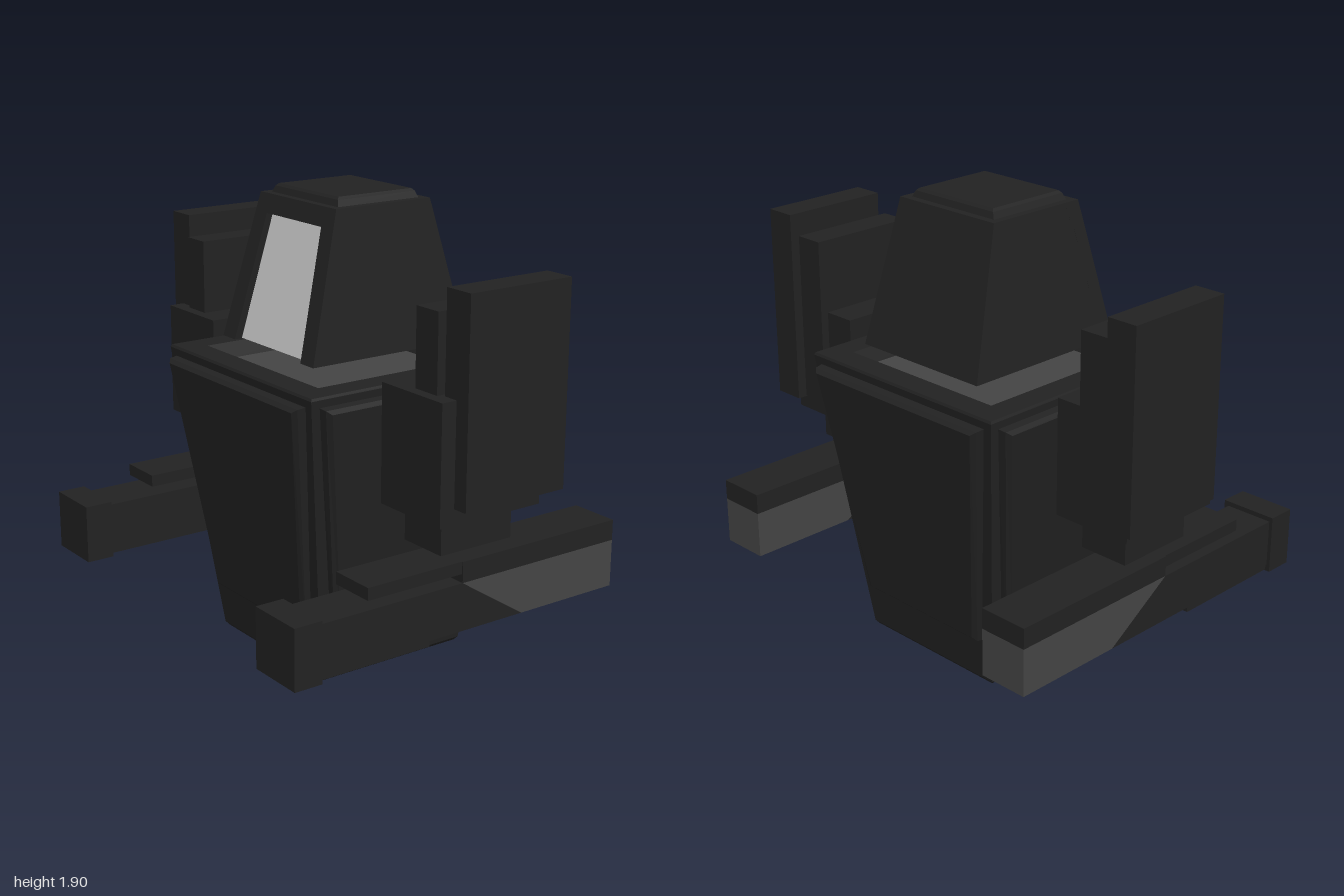
import * as THREE from 'three';

const paint = (color) => new THREE.MeshStandardMaterial({ color, flatShading: true });
const dark = paint(0x222222);
const grey = paint(0x444444);
const glass = paint(0xcccccc);

// Horizontal rectangle of four corners, counterclockwise from above
const rect = (y, x0, x1, z0, z1) => [[x0, y, z1], [x1, y, z1], [x1, y, z0], [x0, y, z0]];
const centred = (y, hx, hz) => rect(y, -hx, hx, -hz, hz);

// Skin through a series of four-cornered rings, closed at both ends
function loft(name, rings, material = dark) {
  const positions = [];
  const quad = (a, b, c, d) => positions.push(...a, ...b, ...c, ...a, ...c, ...d);
  for (let r = 0; r < rings.length - 1; r++) {
    for (let i = 0; i < 4; i++) {
      const j = (i + 1) % 4;
      quad(rings[r][i], rings[r][j], rings[r + 1][j], rings[r + 1][i]);
    }
  }
  const [a, b, c, d] = rings[0];
  quad(d, c, b, a);
  quad(...rings[rings.length - 1]);
  const geometry = new THREE.BufferGeometry();
  geometry.setAttribute('position', new THREE.Float32BufferAttribute(positions, 3));
  geometry.computeVertexNormals();
  const mesh = new THREE.Mesh(geometry, material);
  mesh.name = name;
  return mesh;
}

// Box given by its extents
function block(name, [x0, x1], [y0, y1], [z0, z1], material = dark) {
  const mesh = new THREE.Mesh(new THREE.BoxGeometry(x1 - x0, y1 - y0, z1 - z0), material);
  mesh.position.set((x0 + x1) / 2, (y0 + y1) / 2, (z0 + z1) / 2);
  mesh.name = name;
  return mesh;
}

// Side outline of [z, y] points, extruded across x
function sideProfile(name, points, [x0, x1], material) {
  const shape = new THREE.Shape(points.map(([z, y]) => new THREE.Vector2(z, y)));
  const geometry = new THREE.ExtrudeGeometry(shape, { depth: x1 - x0, bevelEnabled: false });
  geometry.rotateY(-Math.PI / 2);
  const mesh = new THREE.Mesh(geometry, material);
  mesh.position.x = x1;
  mesh.name = name;
  return mesh;
}

function createTorso() {
  const torso = new THREE.Group();
  torso.name = 'torso';
  torso.position.z = -0.07;
  // Tapered shell with a shallow well in the top
  torso.add(loft('torsoShell', [
    centred(0, 0.34, 0.34), centred(0.015, 0.352, 0.352),
    centred(1.22, 0.5, 0.5), centred(1.23, 0.495, 0.495),
    centred(1.23, 0.39, 0.39), centred(1.165, 0.36, 0.36),
  ]));
  torso.add(block('wellFloor', [-0.36, 0.36], [1.155, 1.17], [-0.36, 0.36], grey));
  // Bevelled armour panel on each side
  for (let i = 0; i < 4; i++) {
    const panel = loft('armourPanel', [
      [[-0.32, 0.205, 0.37], [0.32, 0.205, 0.37], [0.46, 1.19, 0.49], [-0.46, 1.19, 0.49]],
      [[-0.32, 0.21, 0.4], [0.32, 0.21, 0.4], [0.455, 1.185, 0.53], [-0.455, 1.185, 0.53]],
      [[-0.3, 0.222, 0.413], [0.3, 0.222, 0.413], [0.435, 1.17, 0.545], [-0.435, 1.17, 0.545]],
    ]);
    panel.rotation.y = i * Math.PI / 2;
    torso.add(panel);
  }
  return torso;
}

function createHead() {
  const head = new THREE.Group();
  head.name = 'head';
  // Core with its front set back behind the window frame
  head.add(loft('headCore', [
    rect(1.285, -0.315, 0.315, -0.46, 0.245),
    rect(1.865, -0.255, 0.255, -0.31, 0.1),
  ]));
  head.add(loft('headCap', [
    rect(1.86, -0.225, 0.225, -0.28, 0.11),
    rect(1.89, -0.21, 0.21, -0.27, 0.1),
    rect(1.9, -0.2, 0.2, -0.26, 0.09),
  ]));
  head.add(loft('window', [
    rect(1.287, -0.23, 0.23, 0.22, 0.256),
    rect(1.79, -0.185, 0.185, 0.1, 0.13),
  ], glass));
  // Window frame
  head.add(loft('frameTop', [
    rect(1.79, -0.263, 0.263, 0.09, 0.16),
    rect(1.865, -0.255, 0.255, 0.07, 0.14),
  ]));
  for (const s of [-1, 1]) {
    const span = (a, b) => (s > 0 ? [a, b] : [-b, -a]);
    head.add(loft('framePost', [
      rect(1.285, ...span(0.23, 0.315), 0.23, 0.29),
      rect(1.79, ...span(0.185, 0.263), 0.1, 0.16),
    ]));
  }
  return head;
}

function createArm(s) {
  const arm = new THREE.Group();
  arm.name = s > 0 ? 'leftArm' : 'rightArm';
  const span = (a, b) => (s > 0 ? [a, b] : [-b, -a]);
  // Shoulder and its upright slabs
  arm.add(
    block('shoulder', span(0.585, 0.935), [0.8, 1.275], [-0.31, 0.17]),
    block('outerSlab', span(0.87, 1), [0.865, 1.675], [-0.37, 0.105]),
    block('innerSlab', span(0.725, 0.85), [0.88, 1.585], [-0.345, 0.125]),
    block('elbow', span(0.65, 0.865), [0.66, 0.8], [-0.235, 0.105]),
  );
  // Forearm: dark front and lighter rear meet on a diagonal
  const width = span(0.66, 0.87);
  arm.add(
    sideProfile('forearm', [[0.66, 0.335], [0.66, 0.53], [0, 0.53], [-0.3, 0.335]], width, dark),
    sideProfile('forearmRear', [[0, 0.53], [-0.775, 0.53], [-0.775, 0.335], [-0.3, 0.335]], width, grey),
    block('forearmRearTop', width, [0.53, 0.615], [-0.775, 0]),
    block('forearmTopPlate', span(0.67, 0.865), [0.565, 0.615], [-0.02, 0.44]),
    block('forearmUnderPlate', span(0.665, 0.865), [0.31, 0.34], [0.15, 0.66]),
    block('fist', span(0.64, 0.885), [0.305, 0.55], [0.655, 0.775]),
  );
  return arm;
}

export function createModel() {
  const model = new THREE.Group();
  model.name = 'robot';
  model.add(createTorso(), createHead(), createArm(1), createArm(-1));
  return model;
}
